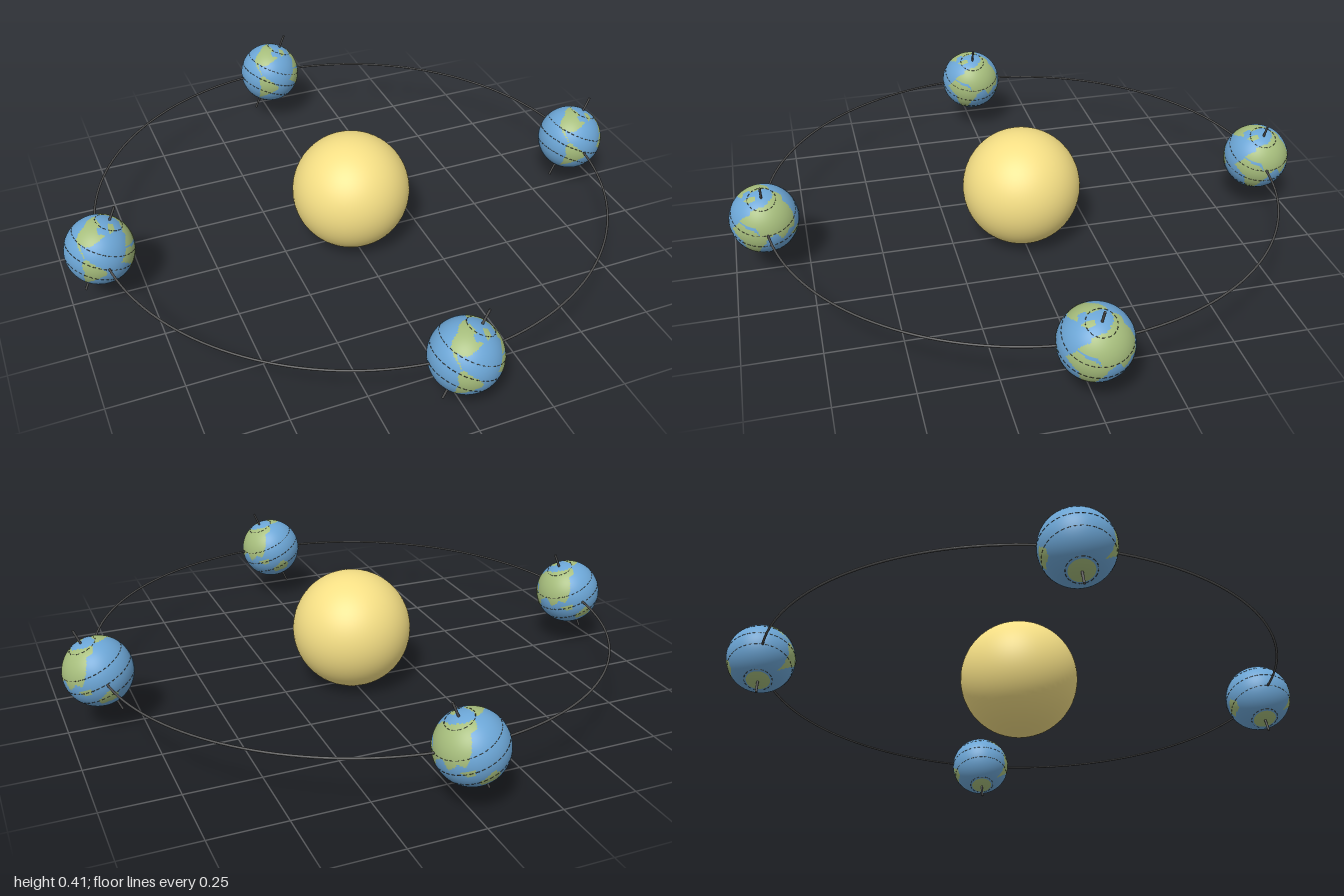
import * as THREE from 'three';
import { mergeGeometries } from 'three/addons/utils/BufferGeometryUtils.js';

const SUN_R = 0.205, ORBIT_R = 0.884, EARTH_R = 0.115, TILT = 23.5;
const rad = THREE.MathUtils.degToRad;

// Simplified coastlines as longitude, latitude pairs
const COASTS = [
  // North America, Greenland, South America
  [-167, 66, -125, 70, -82, 68, -94, 60, -78, 53, -60, 55, -81, 27, -97, 24, -80, 8, -112, 26, -124, 47],
  [-65, 80, -20, 80, -25, 69, -45, 60],
  [-78, 8, -50, 1, -35, -7, -58, -37, -70, -55, -72, -18, -81, -5],
  // Africa, Europe with Asia
  [-6, 36, 32, 31, 51, 12, 40, -5, 33, -27, 19, -34, 9, 4, -17, 14],
  [-9, 37, -2, 47, 11, 57, 5, 61, 26, 71, 104, 77, 180, 68, 156, 55, 135, 54, 121, 30, 107, 12,
    95, 17, 78, 8, 68, 24, 45, 13, 35, 36, 23, 38],
  // Australia, Indonesia
  [114, -23, 142, -11, 153, -27, 146, -38, 116, -34],
  [95, 5, 118, 5, 115, -4, 104, -5]
];

function isLand(lon, lat) {
  if (lat < -70) return true; // southern ice cap
  return COASTS.some(c => {
    let inside = false;
    for (let i = 0, j = c.length - 2; i < c.length; j = i, i += 2) {
      if ((c[i + 1] > lat) !== (c[j + 1] > lat) &&
        lon < (c[j] - c[i]) * (lat - c[i + 1]) / (c[j + 1] - c[i + 1]) + c[i]) inside = !inside;
    }
    return inside;
  });
}

// Longitude -40 faces the front
function onGlobe(lon, lat) {
  const a = rad(lon + 40), p = rad(lat);
  return [Math.cos(p) * Math.sin(a), Math.sin(p), Math.cos(p) * Math.cos(a)];
}

// The cells of a latitude and longitude grid that are land, or that are sea
function globeCells(land) {
  const step = 2.5, normals = [];
  for (let lat = -90; lat < 90; lat += step) {
    for (let lon = -180; lon < 180; lon += step) {
      if (isLand(lon + step / 2, lat + step / 2) !== land) continue;
      const a = onGlobe(lon, lat), b = onGlobe(lon + step, lat);
      const c = onGlobe(lon + step, lat + step), d = onGlobe(lon, lat + step);
      if (lat > -90) normals.push(...a, ...b, ...c);
      if (lat + step < 90) normals.push(...a, ...c, ...d);
    }
  }
  const g = new THREE.BufferGeometry();
  g.setAttribute('position', new THREE.Float32BufferAttribute(normals.map(n => n * EARTH_R), 3));
  g.setAttribute('normal', new THREE.Float32BufferAttribute(normals, 3));
  return g;
}

// Dashed equator, tropics and polar circles
function dashedCircles() {
  const dashes = [];
  for (const lat of [-66.5, -23.5, 0, 23.5, 66.5]) {
    const n = Math.round(40 * Math.cos(rad(lat)));
    for (let i = 0; i < n; i++) {
      const g = new THREE.TorusGeometry(EARTH_R * Math.cos(rad(lat)), 0.0012, 4, 2, Math.PI * 2 / n * 0.65);
      g.rotateX(Math.PI / 2);
      g.rotateY(i / n * Math.PI * 2);
      g.translate(0, EARTH_R * Math.sin(rad(lat)), 0);
      dashes.push(g);
    }
  }
  return mergeGeometries(dashes);
}

export function createModel() {
  const model = new THREE.Group();
  model.name = 'seasonsModel';
  const paint = color => new THREE.MeshStandardMaterial({ color });
  const add = (parent, name, geometry, material) => {
    const mesh = new THREE.Mesh(geometry, material);
    mesh.name = name;
    parent.add(mesh);
    return mesh;
  };
  const dark = paint(0x505050), sea = paint(0x6ca6d6), land = paint(0xa6bd7c), dash = paint(0x4a4a40);

  // Sun and orbit line
  add(model, 'sun', new THREE.SphereGeometry(SUN_R, 64, 40), paint(0xf5df85)).position.y = SUN_R;
  const orbit = add(model, 'orbit', new THREE.TorusGeometry(ORBIT_R, 0.004, 8, 160), dark);
  orbit.rotation.x = Math.PI / 2;
  orbit.position.y = SUN_R;

  // Four tilted globes, one for each season
  const seaGeometry = globeCells(false), landGeometry = globeCells(true);
  const circles = dashedCircles();
  const axis = new THREE.CylinderGeometry(0.004, 0.004, 0.334, 10);
  ['summer', 'autumn', 'winter', 'spring'].forEach((season, i) => {
    const a = i * Math.PI / 2;
    const earth = new THREE.Group();
    earth.name = season + 'Earth';
    earth.position.set(Math.cos(a) * ORBIT_R, SUN_R, Math.sin(a) * ORBIT_R);
    earth.rotation.z = -rad(TILT);
    add(earth, 'ocean', seaGeometry, sea);
    add(earth, 'continents', landGeometry, land);
    add(earth, 'latitudeCircles', circles, dash);
    add(earth, 'axis', axis, dark);
    model.add(earth);
  });
  return model;
}
